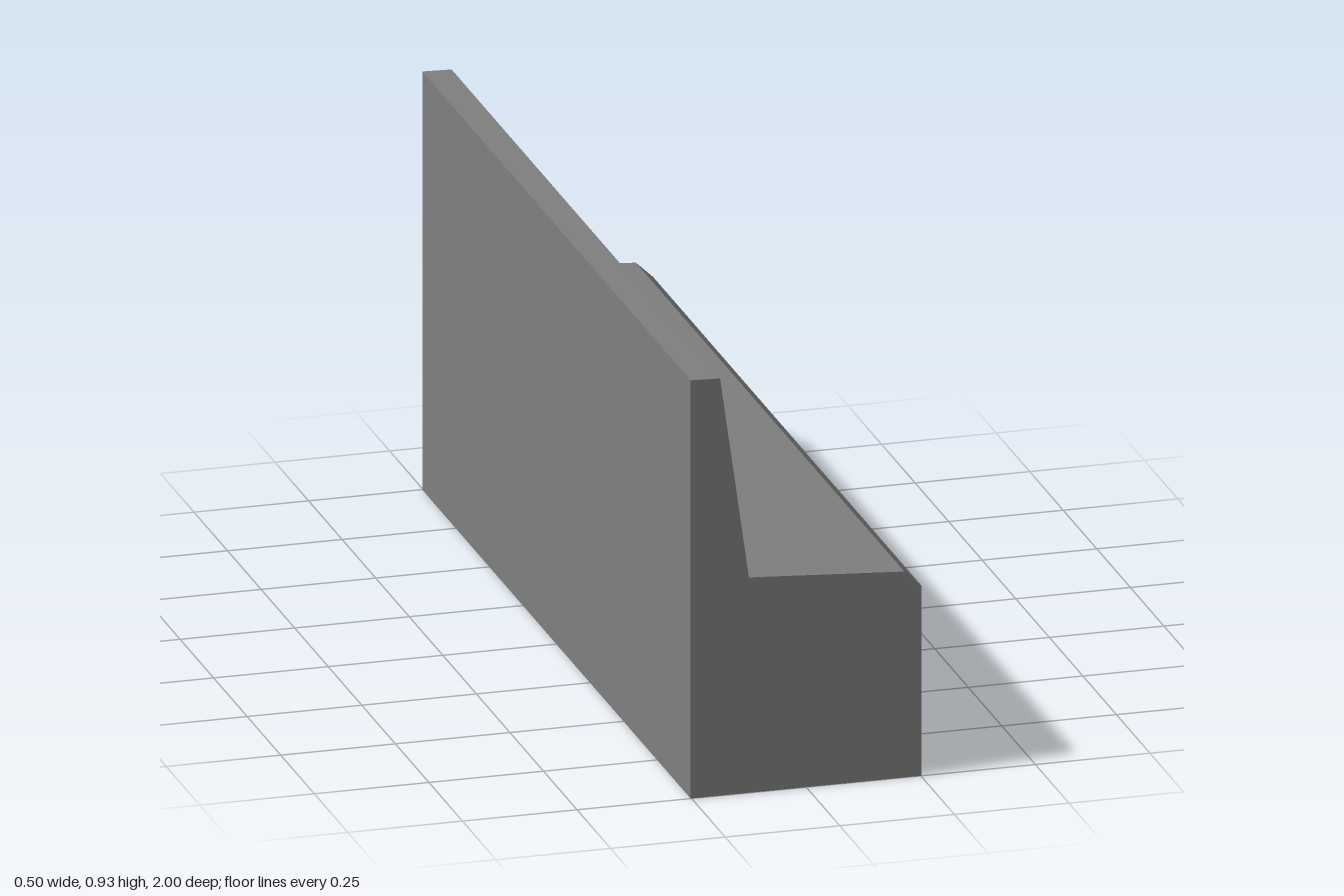
import * as THREE from 'three';

const HALF = 1; // half the bench length along z

// Cross-section from the foot of the seat front, over the top, to the foot of the back
const PROFILE = [
  [0.252, 0], [0.252, 0.422], [0.214, 0.458], [-0.125, 0.479],
  [-0.188, 0.928], [-0.252, 0.93], [-0.252, 0],
];
const PANELS = ['seatFront', 'seatChamfer', 'seatTop', 'backrestFront', 'backrestTop', 'backrestRear'];

// Flat strip running the full length between two profile points
function panelGeometry([ax, ay], [bx, by]) {
  const geometry = new THREE.BufferGeometry();
  geometry.setAttribute('position', new THREE.Float32BufferAttribute([
    ax, ay, HALF, ax, ay, -HALF, bx, by, -HALF, bx, by, HALF,
  ], 3));
  geometry.setIndex([0, 1, 2, 0, 2, 3]);
  geometry.computeVertexNormals();
  return geometry;
}

export function createModel() {
  const bench = new THREE.Group();
  bench.name = 'bench';
  // Thin hollow shell with an open underside
  const grey = new THREE.MeshStandardMaterial({ color: 0x808080, side: THREE.DoubleSide });
  grey.name = 'grey';

  const add = (name, geometry) => {
    const mesh = new THREE.Mesh(geometry, grey);
    mesh.name = name;
    bench.add(mesh);
    return mesh;
  };

  // Long panels
  PANELS.forEach((name, i) => add(name, panelGeometry(PROFILE[i], PROFILE[i + 1])));

  // End panels
  const outline = new THREE.Shape(PROFILE.map(([x, y]) => new THREE.Vector2(x, y)));
  add('frontEnd', new THREE.ShapeGeometry(outline)).position.z = HALF;
  const rear = new THREE.ShapeGeometry(outline);
  rear.index.array.reverse(); // face outward towards -z
  rear.computeVertexNormals();
  add('rearEnd', rear).position.z = -HALF;

  return bench;
}
